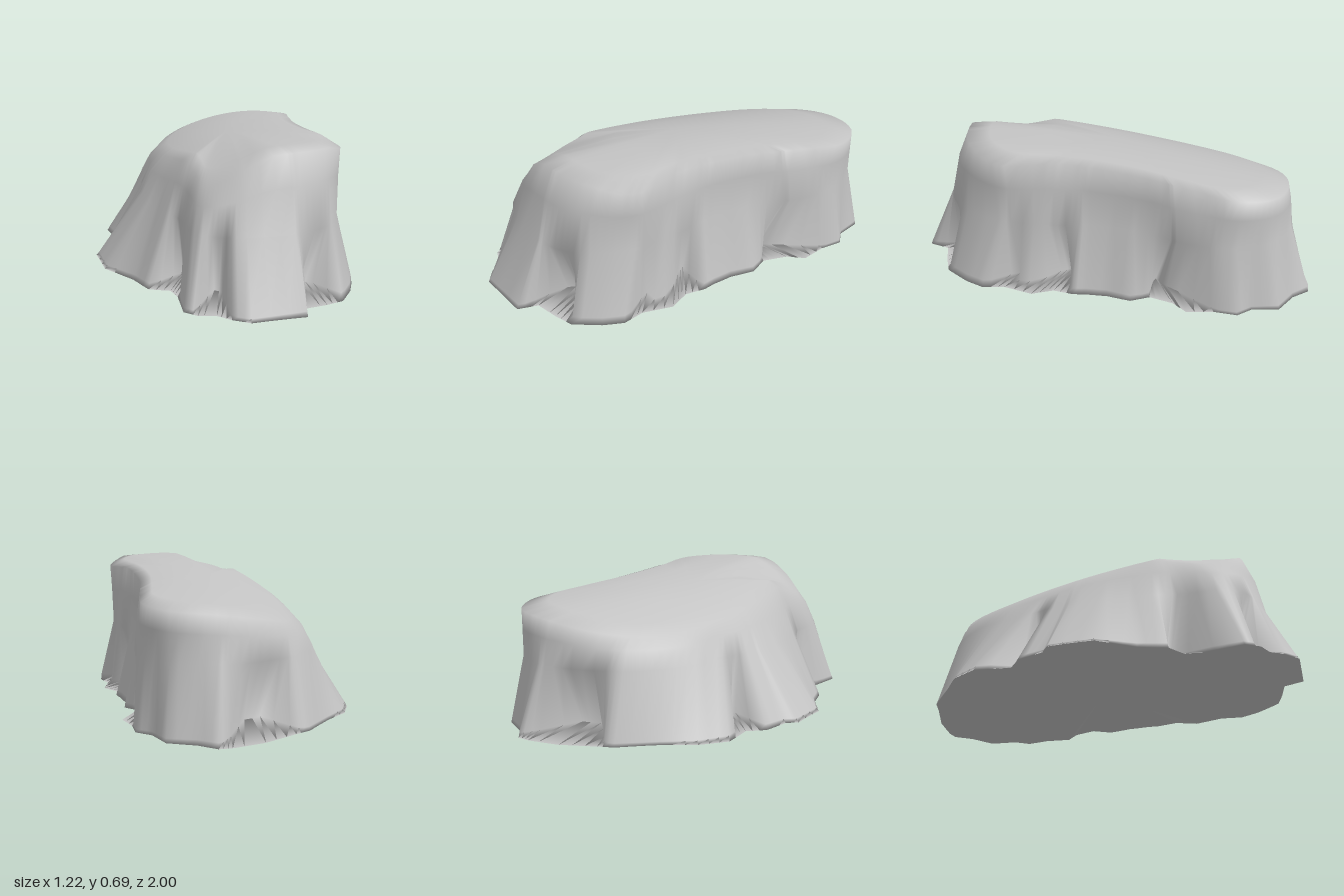
import * as THREE from 'three';

// Plan outlines as x, z pairs, seen from above
const BASE = [
  0.14, -1.0, 0.22, -0.94, 0.35, -0.9, 0.4, -0.78, 0.47, -0.73, 0.48, -0.62, 0.52, -0.5, 0.47, -0.42,
  0.45, -0.3, 0.5, -0.22, 0.49, -0.1, 0.51, 0, 0.53, 0.06, 0.53, 0.16, 0.59, 0.25, 0.57, 0.4,
  0.605, 0.5, 0.58, 0.6, 0.52, 0.73, 0.44, 0.78, 0.34, 0.83, 0.33, 0.93, 0.08, 1.0, 0, 0.96,
  -0.06, 0.91, -0.14, 0.9, -0.2, 0.85, -0.22, 0.66, -0.25, 0.58, -0.35, 0.55, -0.42, 0.43, -0.56, 0.29,
  -0.61, 0.08, -0.57, 0.03, -0.57, -0.1, -0.51, -0.18, -0.57, -0.35, -0.52, -0.5, -0.41, -0.63,
  -0.29, -0.79, -0.22, -0.83, -0.07, -0.93, 0.08, -0.99,
];
const MIDDLE = [
  -0.16, 0.71, -0.2, 0.55, -0.29, 0.38, -0.375, 0.1, -0.375, -0.2, -0.37, -0.45, -0.27, -0.68, -0.08, -0.83,
  0.12, -0.89, 0.3, -0.85, 0.42, -0.71, 0.46, -0.5, 0.42, -0.25, 0.44, 0, 0.5, 0.2, 0.53, 0.45,
  0.46, 0.67, 0.3, 0.79, 0.05, 0.83, -0.09, 0.8,
];
const RIM = [
  -0.1, 0.64, -0.13, 0.52, -0.2, 0.3, -0.27, 0, -0.285, -0.35, -0.23, -0.6, -0.1, -0.77, 0.1, -0.86,
  0.3, -0.85, 0.43, -0.7, 0.43, -0.5, 0.42, -0.2, 0.46, 0.12, 0.545, 0.42, 0.46, 0.59, 0.25, 0.7, 0.03, 0.72,
];
// Gullies in the foot of the wall: x, z, half width, depth
const GULLIES = [
  [0.42, 0.79, 0.12, 0.17], [-0.07, 0.91, 0.09, 0.18], [-0.23, 0.6, 0.12, 0.13],
  [-0.51, -0.18, 0.1, 0.15], [-0.07, -0.92, 0.21, 0.2], [0.54, 0.2, 0.13, 0.15],
  [0.49, -0.46, 0.17, 0.17], [0.57, 0.4, 0.07, 0.09],
];
const CX = 0.05;

const pairs = (a) => Array.from({ length: a.length / 2 }, (_, i) => new THREE.Vector2(a[2 * i], a[2 * i + 1]));
const smooth = (a) => {
  const pts = pairs(a).map((p) => new THREE.Vector3(p.x, 0, p.y));
  return new THREE.CatmullRomCurve3(pts, true).getPoints(120).map((p) => new THREE.Vector2(p.x, p.z));
};

// Distance from the axis to an outline along angle a
function reach(outline, a) {
  const c = Math.cos(a), s = Math.sin(a);
  let best = 0;
  outline.forEach((p, i) => {
    const q = outline[(i + 1) % outline.length];
    const u1 = (p.x - CX) * c + p.y * s, v1 = p.y * c - (p.x - CX) * s;
    const u2 = (q.x - CX) * c + q.y * s, v2 = q.y * c - (q.x - CX) * s;
    if (Math.min(v1, v2) > 1e-6 || Math.max(v1, v2) < -1e-6 || v1 === v2) return;
    best = Math.max(best, u1 + ((u2 - u1) * v1) / (v1 - v2));
  });
  return best;
}

// Sloping plateau: high at the front, falling to the back and to -x,
// with a drooping front corner and a rounded +x edge
function topY(x, z) {
  const d = Math.max(0, 0.3 - x), b = Math.max(0, 0.68 - z);
  const corner = Math.max(0, z - 0.4) * Math.max(0, 0.17 - x);
  return 0.7 - 0.39 * d * d - 0.06 * Math.pow(b, 1.5) - 1.4 * corner - 0.4 * Math.max(0, x - 0.47);
}

// How far the gullies cut in at a point on the base outline
function gullyCut(x, z) {
  return Math.max(...GULLIES.map(([gx, gz, w, depth]) => {
    const t = 1.5 * (1 - Math.hypot(x - gx, z - gz) / w);
    return depth * THREE.MathUtils.clamp(t, 0, 1);
  }));
}

function rockGeometry() {
  const base = pairs(BASE), middle = smooth(MIDDLE), rim = smooth(RIM);
  const corners = base.map((p) => Math.atan2(p.y, p.x - CX)).sort((a, b) => a - b);
  const angles = corners.flatMap((a, i) => {
    const next = i + 1 < corners.length ? corners[i + 1] : corners[0] + 2 * Math.PI;
    return [0, 1, 2].map((k) => a + ((next - a) * k) / 3);
  });
  const n = angles.length, rings = [[], [], [], [], [], [], []];
  for (const a of angles) {
    const at = (r, y) => {
      const x = CX + r * Math.cos(a), z = r * Math.sin(a);
      return [x, typeof y === 'function' ? y(x, z) : y, z];
    };
    const rb = reach(base, a), rm = reach(middle, a), rr = reach(rim, a);
    const [bx, , bz] = at(rb, 0);
    const cut = gullyCut(bx, bz);
    const ridge = at(rr, topY)[1] - 0.015;
    const lip = 0.025 + 0.006 * Math.sin(5 * a) - 0.018 * Math.max(0, Math.cos(a - 0.45)) ** 4;
    rings[0].push(at(rb, lip));
    rings[1].push(at(rb + (rm - rb) * 0.06 - cut, 0.045 + cut * 0.15));
    rings[2].push(at(rm, 0.35));
    rings[3].push(at(rm + (rr - rm) * 0.45, 0.35 + (ridge - 0.35) * 0.6));
    rings[4].push(at(rr, ridge));
    rings[5].push(at(rr * 0.85, topY));
    rings[6].push(at(rr * 0.45, topY));
  }
  const pos = rings.flat();
  const under = pos.push([CX, 0.05, 0]) - 1;
  const crown = pos.push([CX, topY(CX, 0), 0]) - 1;
  const index = [], last = (rings.length - 1) * n;
  for (let i = 0; i < n; i++) {
    const j = (i + 1) % n;
    for (let o = 0; o < last; o += n) index.push(o + i, o + n + i, o + j, o + j, o + n + i, o + n + j);
    index.push(under, i, j, last + i, crown, last + j);
  }
  const geo = new THREE.BufferGeometry();
  geo.setAttribute('position', new THREE.Float32BufferAttribute(pos.flat(), 3));
  geo.setIndex(index);
  geo.computeVertexNormals();
  // Stand it on the ground
  geo.computeBoundingBox();
  geo.translate(0, -geo.boundingBox.min.y, 0);
  return geo;
}

export function createModel() {
  const group = new THREE.Group();
  group.name = 'rockPlateau';
  const stone = new THREE.MeshStandardMaterial({ color: 0xc4c4c4 });
  stone.name = 'grey stone';
  const rock = new THREE.Mesh(rockGeometry(), stone);
  rock.name = 'rock';
  group.add(rock);
  return group;
}
